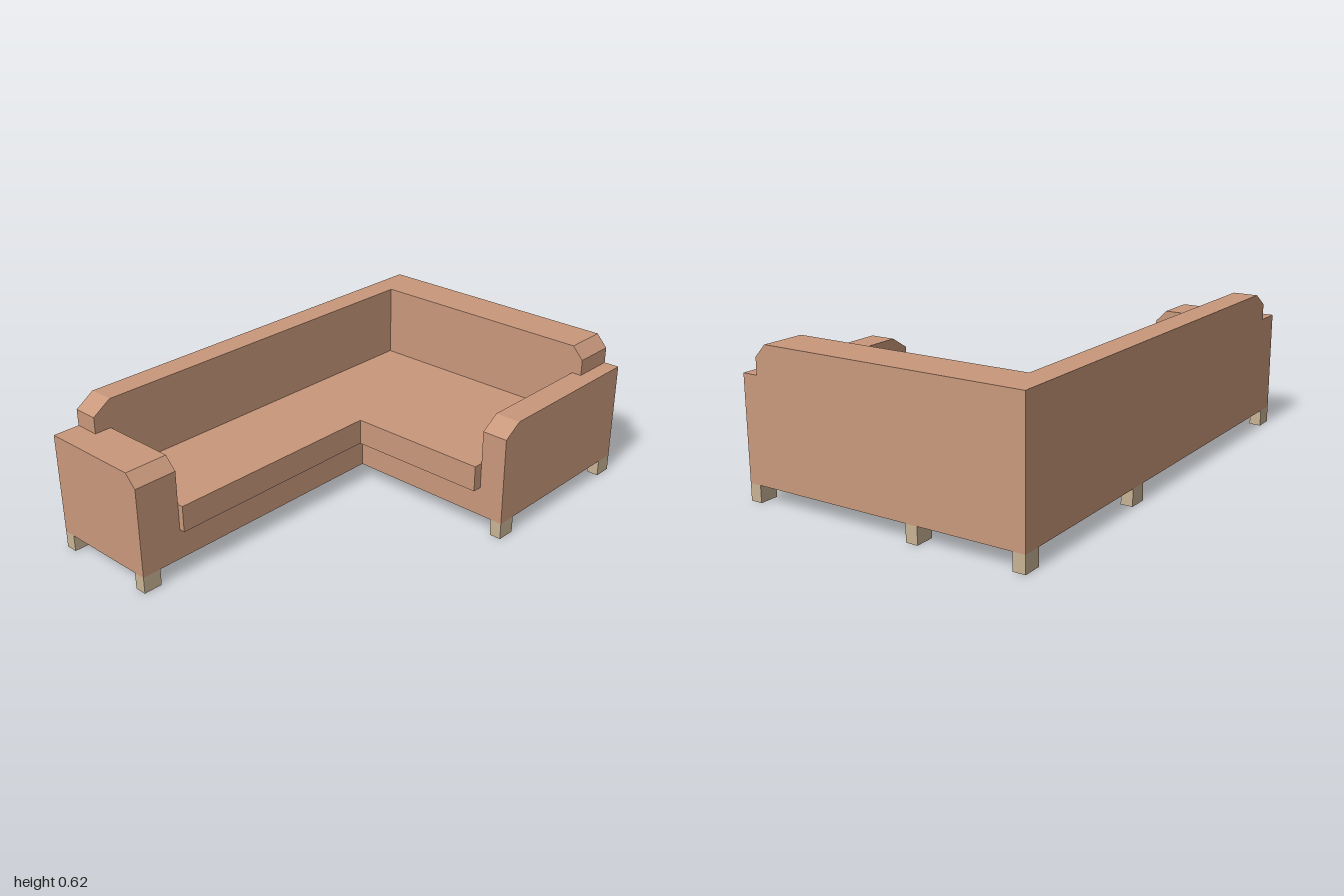
import * as THREE from 'three';

const BASE_Y = 0.07, SEAT_Y = 0.195, CUSHION_Y = 0.305, ARM_Y = 0.495, TOP_Y = 0.615;
const BACK_Z = -0.615, FRONT_Z = 0.612;

// Prism from a 2D outline, running along the third axis
function prism(points, depth) {
  const shape = new THREE.Shape(points.map(([a, b]) => new THREE.Vector2(a, b)));
  return new THREE.ExtrudeGeometry(shape, { depth, bevelEnabled: false });
}
// Outline in (x, z), rising from y0 to y1
const slab = (pts, y0, y1) =>
  prism(pts.map(([x, z]) => [x, -z]), y1 - y0).rotateX(-Math.PI / 2).translate(0, y0, 0);
// Outline in (x, y), running from z0 to z1
const alongZ = (pts, z0, z1) => prism(pts, z1 - z0).translate(0, 0, z0);
// Outline in (z, y), running from x0 to x1
const alongX = (pts, x0, x1) =>
  prism(pts.map(([z, y]) => [-z, y]), x1 - x0).rotateY(Math.PI / 2).translate(x0, 0, 0);

export function createModel() {
  const upholstery = new THREE.MeshStandardMaterial({ color: 0xc9987c });
  upholstery.name = 'upholstery';
  const wood = new THREE.MeshStandardMaterial({ color: 0xc8b395 });
  wood.name = 'paleWood';

  const sofa = new THREE.Group();
  sofa.name = 'cornerSofa';
  const add = (name, geometry, material = upholstery) => {
    const mesh = new THREE.Mesh(geometry, material);
    mesh.name = name;
    sofa.add(mesh);
  };

  // L-shaped base frame
  add('base', slab([[-1, BACK_Z], [1, BACK_Z], [1, FRONT_Z], [0.203, FRONT_Z],
    [0.203, -0.132], [-1, -0.132]], BASE_Y, SEAT_Y));

  // L-shaped seat cushion, overhanging the base
  add('seatCushion', slab([[-0.815, -0.508], [0.815, -0.508], [0.815, 0.502], [0.162, 0.502],
    [0.162, -0.107], [-0.815, -0.107]], SEAT_Y, CUSHION_Y));

  // Low arms with a chamfered free end
  add('sideArm', alongX([[BACK_Z, SEAT_Y], [-0.132, SEAT_Y], [-0.132, 0.445],
    [-0.18, ARM_Y], [BACK_Z, ARM_Y]], -1, -0.815));
  add('frontArm', alongZ([[0.203, SEAT_Y], [1, SEAT_Y], [1, ARM_Y],
    [0.283, ARM_Y], [0.203, 0.445]], 0.502, FRONT_Z));

  // Backrests, each lapping over the arm at its end
  add('longBackrest', alongZ([[-0.815, SEAT_Y], [1, SEAT_Y], [1, TOP_Y], [-0.808, TOP_Y],
    [-0.887, 0.563], [-0.887, ARM_Y], [-0.815, ARM_Y]], BACK_Z, -0.508));
  add('shortBackrest', alongX([[-0.508, SEAT_Y], [0.502, SEAT_Y], [0.502, ARM_Y],
    [0.545, ARM_Y], [0.545, 0.563], [0.497, TOP_Y], [-0.508, TOP_Y]], 0.815, 1));

  // Legs, set flush with the outer faces
  const legs = [[-0.96, -0.59], [0.243, -0.59], [0.96, -0.59], [-0.96, -0.157],
    [0.96, -0.15], [0.243, 0.587], [0.96, 0.587]];
  for (const [x, z] of legs) {
    add('leg', new THREE.BoxGeometry(0.08, BASE_Y, 0.05).translate(x, BASE_Y / 2, z), wood);
  }
  return sofa;
}
